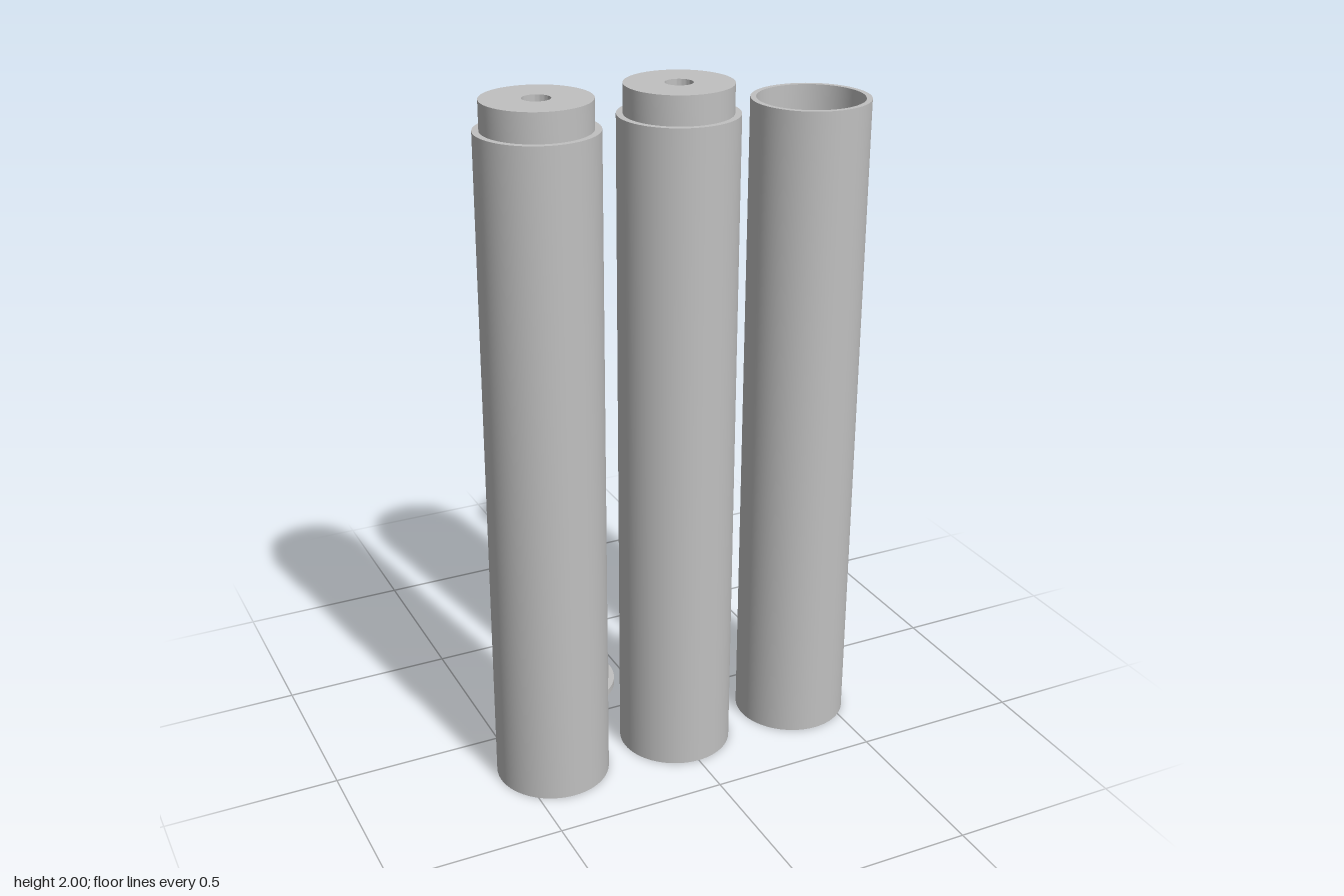
import * as THREE from 'three';
import { toCreasedNormals } from 'three/addons/utils/BufferGeometryUtils.js';

const grey = new THREE.MeshStandardMaterial({ color: 0xc0c0c0 });
grey.name = 'plain grey';

// Turned part with sharp profile corners
function turned(name, profile) {
  const points = profile.map(([r, y]) => new THREE.Vector2(r, y));
  const geometry = toCreasedNormals(new THREE.LatheGeometry(points, 72), 0.6);
  const mesh = new THREE.Mesh(geometry, grey);
  mesh.name = name;
  return mesh;
}

// Slanted pegs crossing the tube, each turned 40 degrees from the one above
function pegSpiral(startDegrees) {
  const group = new THREE.Group();
  group.name = 'pegSpiral';
  const count = 21, tilt = Math.PI / 4, reach = 0.155;
  const geometry = new THREE.CylinderGeometry(0.012, 0.012, 2 * reach / Math.cos(tilt), 20);
  const up = new THREE.Vector3(0, 1, 0);
  for (let i = 0; i < count; i++) {
    const a = THREE.MathUtils.degToRad(startDegrees - 40 * i);
    const direction = new THREE.Vector3(
      Math.cos(a) * Math.cos(tilt), Math.sin(tilt), -Math.sin(a) * Math.cos(tilt));
    const peg = new THREE.Mesh(geometry, grey);
    peg.name = 'peg';
    peg.quaternion.setFromUnitVectors(up, direction);
    peg.position.y = 1.65 - i * (1.41 / (count - 1));
    group.add(peg);
  }
  return group;
}

// Open tube
const openTube = [
  [0.149, 0], [0.165, 0], [0.165, 1.92], [0.149, 1.92], [0.149, 0],
];

// Tube with a narrower neck whose top has a centre hole
const neckedTube = [
  [0.149, 0], [0.165, 0], [0.165, 1.92], [0.147, 1.92], [0.147, 2], [0.038, 2],
  [0.038, 1.98], [0.138, 1.98], [0.138, 1.9], [0.149, 1.9], [0.149, 0],
];

// End cap: flanged base and hollow collar
const endCap = [
  [0, 0], [0.165, 0], [0.165, 0.02], [0.147, 0.02], [0.147, 0.087],
  [0.139, 0.087], [0.139, 0.02], [0, 0.02],
];

export function createModel() {
  const model = new THREE.Group();
  model.name = 'pegTubeSet';

  const sections = [
    ['lowerSection', -0.4, neckedTube, 260],
    ['middleSection', 0, neckedTube, 20],
    ['upperSection', 0.4, openTube, 140],
  ];
  for (const [name, x, profile, start] of sections) {
    const section = new THREE.Group();
    section.name = name;
    section.position.set(x, 0, 0.2);
    section.add(turned('tube', profile), pegSpiral(start));
    model.add(section);
  }

  for (const [name, x] of [['rightEndCap', -0.2], ['leftEndCap', 0.2]]) {
    const cap = turned(name, endCap);
    cap.position.set(x, 0, -0.2);
    model.add(cap);
  }
  return model;
}
